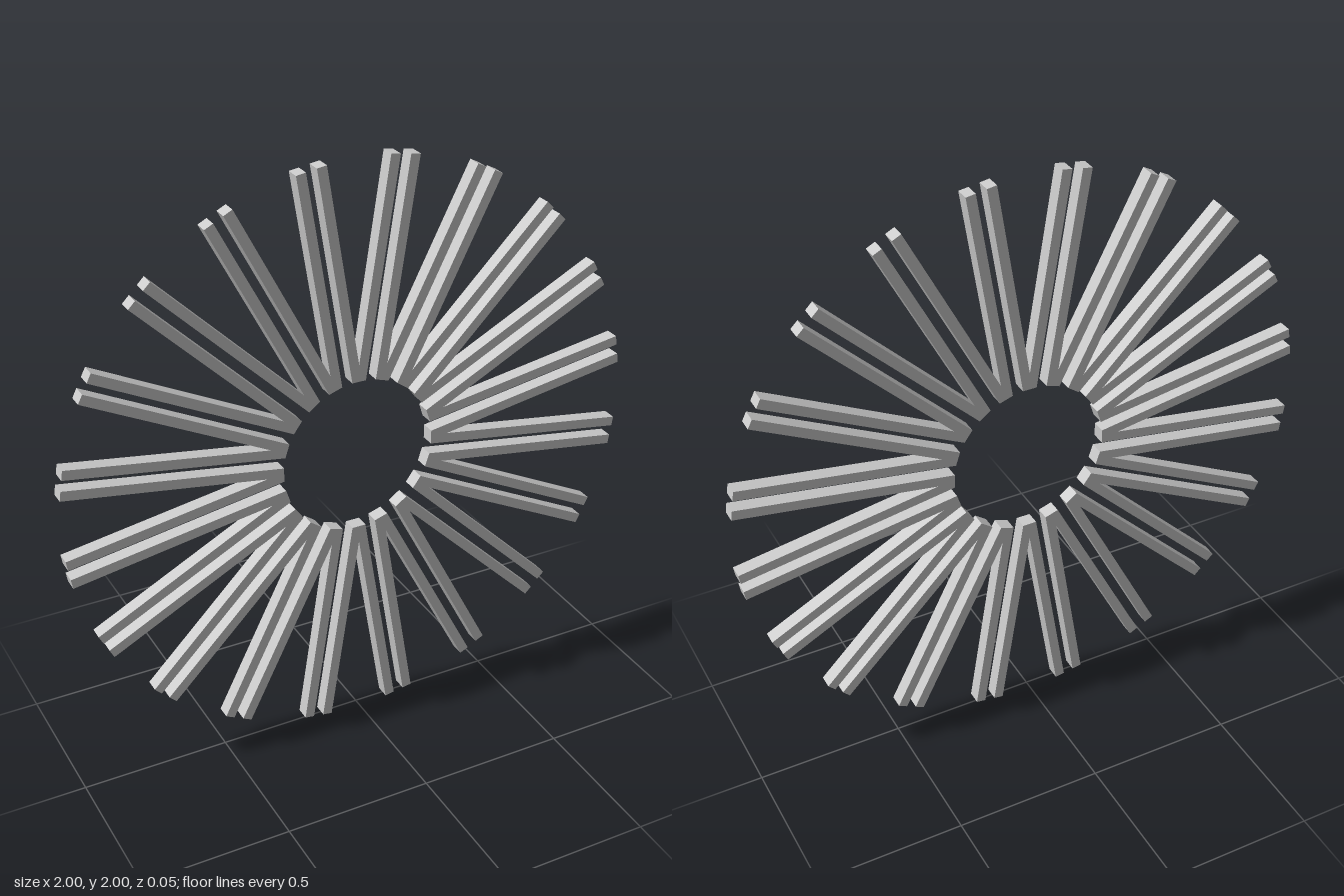
import * as THREE from 'three';

const COUNT = 20;               // V-shaped spokes around the ring
const HALF = Math.PI / COUNT;   // each leg leans half a step from the V's axis
const NEAR = 0.018, FAR = 0.051; // leg edges, measured from the line between two neighbouring Vs
const INNER = 0.267, LENGTH = 1.0045, DEPTH = 0.048;

// Point on the right-hand leg: u along the leg, v sideways towards the V's axis
function legPoint(u, v) {
  const s = Math.sin(HALF), c = Math.cos(HALF);
  return new THREE.Vector2(u * s - v * c, u * c + v * s);
}

function spokeGeometry() {
  const atRadius = (y, v) => legPoint((y - v * Math.sin(HALF)) / Math.cos(HALF), v);
  // Right half from the foot out to the tip, then back down to the crotch of the V
  const right = [atRadius(INNER, NEAR), legPoint(LENGTH, NEAR), legPoint(LENGTH, FAR)];
  const crotch = new THREE.Vector2(0, FAR / Math.sin(HALF));
  const left = right.map((p) => new THREE.Vector2(-p.x, p.y)).reverse();
  const shape = new THREE.Shape([...right, crotch, ...left]);
  const geometry = new THREE.ExtrudeGeometry(shape, { depth: DEPTH, bevelEnabled: false });
  geometry.translate(0, 0, -DEPTH / 2);
  return geometry;
}

export function createModel() {
  const model = new THREE.Group();
  model.name = 'sunburst';
  const material = new THREE.MeshStandardMaterial({ color: 0xcccccc, flatShading: true });
  const geometry = spokeGeometry();

  // Ring of V-shaped spokes
  const ring = new THREE.Group();
  ring.name = 'spokeRing';
  ring.position.y = 1;
  for (let i = 0; i < COUNT; i++) {
    const spoke = new THREE.Mesh(geometry, material);
    spoke.name = `spoke${i + 1}`;
    spoke.rotation.z = i * 2 * HALF;
    ring.add(spoke);
  }
  model.add(ring);
  return model;
}
